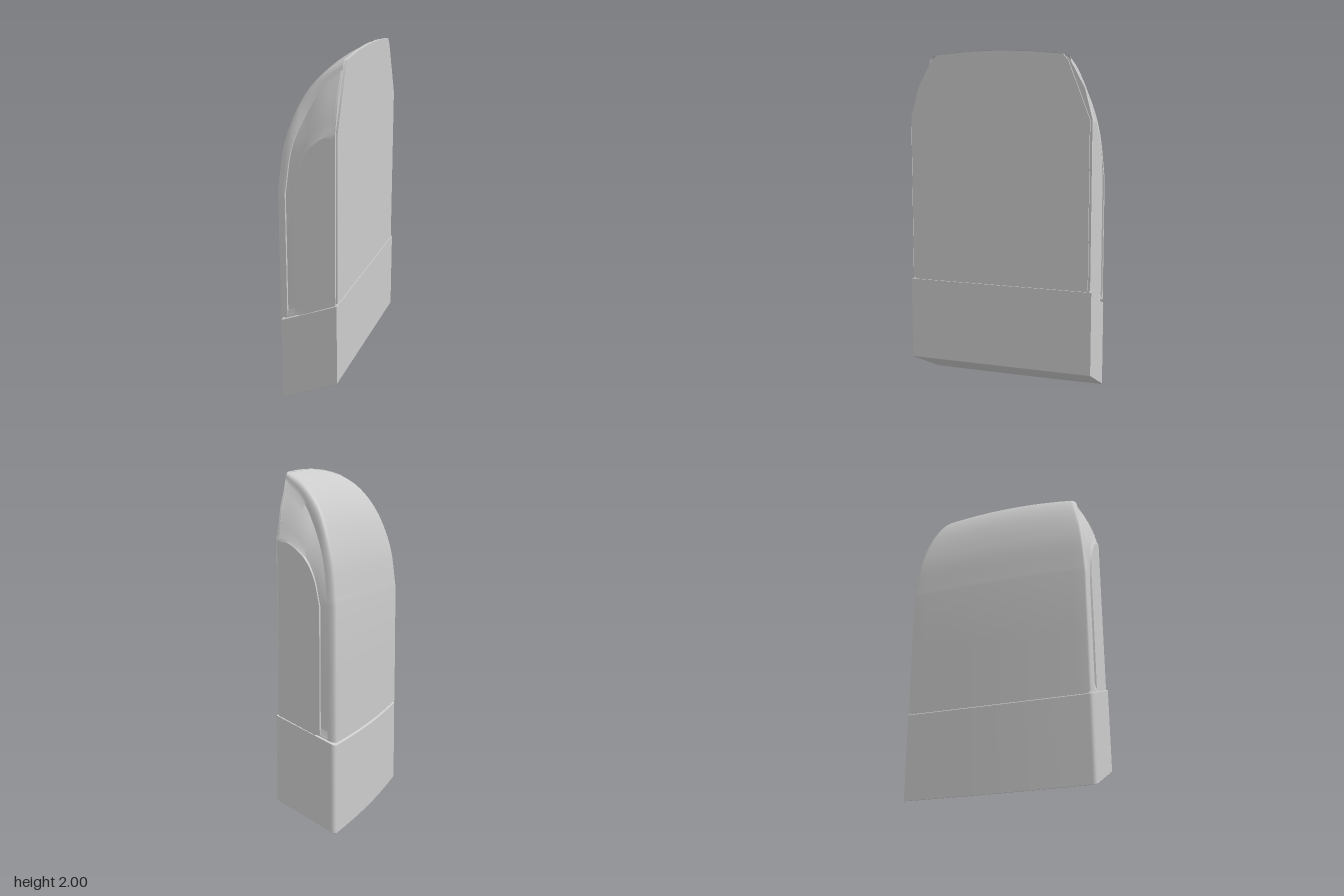
import * as THREE from 'three';
import { toCreasedNormals } from 'three/addons/utils/BufferGeometryUtils.js';

const material = new THREE.MeshStandardMaterial({ color: 0xcccccc, side: THREE.DoubleSide });
const BACK = 0.165;   // x of the shell's flat back plane
const KNEE = 1.27;    // height at which the straight lower part starts to curve

function addMesh(group, name, geometry) {
  // scaled up while creasing so that fine steps keep their edges
  geometry.scale(50, 50, 50);
  const creased = toCreasedNormals(geometry, 0.5);
  creased.scale(0.02, 0.02, 0.02);
  const mesh = new THREE.Mesh(creased, material);
  mesh.name = name;
  group.add(mesh);
}

// A guide line: straight up from the slanted seam to the knee, then curved to the back plane
function guide(points) {
  const curve = new THREE.CatmullRomCurve3(points.map(p => new THREE.Vector3(...p)));
  const knee = curve.points[0];
  const foot = knee.clone().setY(0.518 + (knee.x + 0.18) * 0.42);
  return t => t < 0.4 ? foot.clone().lerp(knee, t / 0.4) : curve.getPoint((t - 0.4) / 0.6);
}

const crown = guide([[-0.18, KNEE, 0], [-0.15, 1.53, 0], [-0.087, 1.74, 0], [-0.016, 1.86, 0],
  [0.064, 1.942, 0], [BACK, 2, 0]]);
const shoulder = guide([[-0.166, KNEE, 0.525], [-0.137, 1.52, 0.5], [-0.075, 1.72, 0.455], [-0.01, 1.835, 0.42],
  [0.068, 1.918, 0.395], [BACK, 1.977, 0.38]]);
const groove = guide([[-0.12, KNEE, 0.548], [-0.085, 1.53, 0.522], [-0.016, 1.71, 0.478],
  [0.064, 1.85, 0.447], [BACK, 1.94, 0.423]]);
const panelEdge = guide([[-0.075, KNEE, 0.55], [-0.042, 1.42, 0.55], [0.01, 1.52, 0.55],
  [0.09, 1.59, 0.55], [BACK, 1.62, 0.55]]);

// Half a cross-section of the shell, from the middle to the back edge
function halfSection(t) {
  const c = crown(t), s = shoulder(t), g = groove(t), p = panelEdge(t);
  const pts = [];
  for (let i = 0; i <= 8; i++) {
    const u = i / 8;
    pts.push(new THREE.Vector3(c.x + (s.x - c.x) * u * u, c.y + (s.y - c.y) * u * u, s.z * u));
  }
  // rounded shoulder down to the groove
  const round = new THREE.QuadraticBezierCurve3(s, new THREE.Vector3(s.x, s.y, g.z), g);
  pts.push(...round.getPoints(7).slice(1));
  // sunken strip that widens into the sloping upper side
  const depth = t > 0 ? 0.01 : 0;
  const bulge = 0.017 * Math.max(0, (t - 0.4) / 0.6);
  for (const u of [0.06, 0.25, 0.5, 0.75, 0.94]) {
    const q = g.clone().lerp(p, u);
    q.z += bulge * 4 * u * (1 - u) - depth * (1 - 0.6 * bulge / 0.017);
    pts.push(q);
  }
  // flat side panel
  pts.push(p, new THREE.Vector3(BACK, p.y, p.z));
  return pts;
}

function shellGeometry() {
  const steps = [0, 0.02, 0.025, 0.2];
  for (let i = 0; i <= 40; i++) steps.push(0.4 + 0.6 * i / 40);
  const position = [], index = [];
  let n = 0;
  steps.forEach((t, j) => {
    const half = halfSection(t);
    const mirrored = half.slice(1).reverse().map(p => new THREE.Vector3(p.x, p.y, -p.z));
    const row = [...mirrored, ...half];
    n = row.length;
    row.forEach(p => position.push(p.x, p.y, p.z));
    if (j === 0) return;
    for (let i = 0; i < n - 1; i++) {
      const a = (j - 1) * n + i, b = a + n;
      index.push(a, a + 1, b, a + 1, b + 1, b);
    }
  });
  const geometry = new THREE.BufferGeometry();
  geometry.setAttribute('position', new THREE.Float32BufferAttribute(position, 3));
  geometry.setIndex(index);
  return geometry;
}

// Plate lying in the back plane, mirrored about its middle
function backPlate(half, x, thickness) {
  const outline = [...half, ...half.slice().reverse().map(([z, y]) => [-z, y])];
  const shape = new THREE.Shape(outline.map(p => new THREE.Vector2(...p)));
  return new THREE.ExtrudeGeometry(shape, { depth: thickness, bevelEnabled: false })
    .rotateY(Math.PI / 2).translate(x, 0, 0);
}

// Block with a bowed front and rounded front corners, its ends slanting up towards the back
function slantedBlock(inset, bottom, top, bottomSlope, topSlope, bevel) {
  const x = 0.177 - inset - bevel, w = 0.558 - inset - bevel, f = -0.165 + inset + bevel, r = 0.022;
  const shape = new THREE.Shape();
  shape.moveTo(x, -w);
  shape.lineTo(x, w);
  shape.lineTo(f + r, w - 0.008);
  shape.quadraticCurveTo(f, w - 0.008, f, w - 0.008 - r);
  shape.quadraticCurveTo(f - 0.03, 0, f, -w + 0.008 + r);
  shape.quadraticCurveTo(f, -w + 0.008, f + r, -w + 0.008);
  shape.closePath();
  const geometry = new THREE.ExtrudeGeometry(shape, {
    depth: 1 - 2 * bevel, bevelEnabled: bevel > 0, bevelThickness: bevel,
    bevelSize: bevel, bevelSegments: 2, curveSegments: 16
  }).translate(0, 0, bevel).rotateX(-Math.PI / 2);
  const pos = geometry.attributes.position;
  for (let i = 0; i < pos.count; i++) {
    const dx = pos.getX(i) + 0.18;
    const low = bottom + dx * bottomSlope, high = top + dx * topSlope;
    pos.setY(i, low + (high - low) * pos.getY(i));
  }
  geometry.computeVertexNormals();
  return geometry;
}

export function createModel() {
  const group = new THREE.Group();
  group.name = 'housing';
  addMesh(group, 'base', slantedBlock(0, 0, 0.506, 0.465, 0.42, 0.006));
  addMesh(group, 'seam', slantedBlock(0.018, 0.45, 0.535, 0.42, 0.42, 0));
  addMesh(group, 'shell', shellGeometry());
  // inner backing closes the shell, the outer plate covers it
  addMesh(group, 'backing', backPlate([[0.548, 0.66], [0.548, 1.62], [0.503, 1.79], [0.42, 1.94],
    [0.38, 1.975], [0.19, 1.992], [0, 1.998]], 0.155, 0.01));
  addMesh(group, 'backPlate', backPlate([[0.536, 0.66], [0.536, 1.62], [0.41, 1.938],
    [0.38, 1.975], [0.19, 1.992], [0, 1.998]], 0.16, 0.015));
  return group;
}
